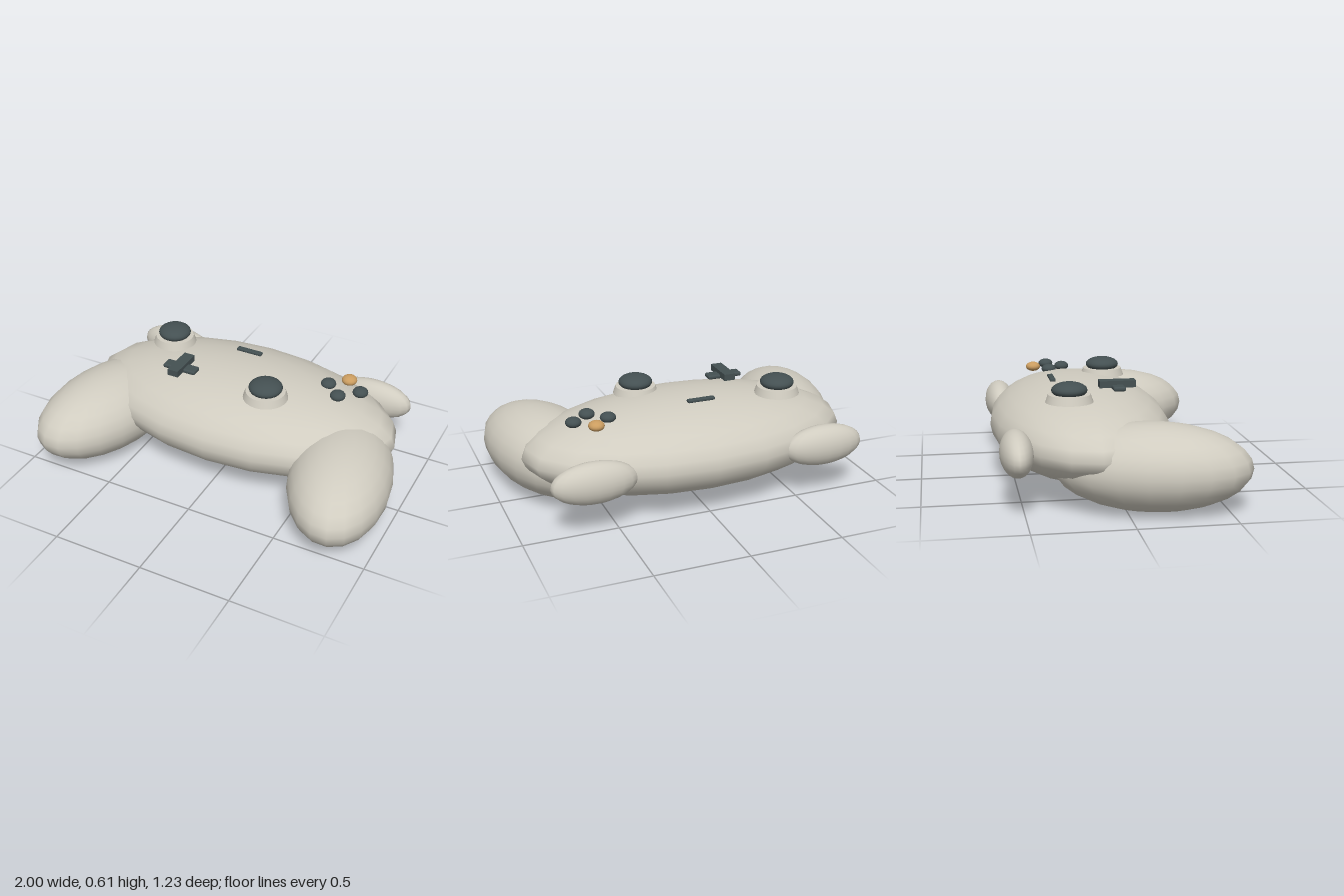
import * as THREE from 'three';
import { RoundedBoxGeometry } from 'three/addons/geometries/RoundedBoxGeometry.js';

const paint = (name, color) => {
  const m = new THREE.MeshStandardMaterial({ color });
  m.name = name;
  return m;
};

export function createModel() {
  const shell = paint('warm grey shell', 0xd0ccc0);
  const dark = paint('dark slate', 0x445052);
  const amber = paint('amber', 0xcb9d60);

  const model = new THREE.Group();
  model.name = 'gamepad';

  const add = (name, geometry, material, pos, parent = model) => {
    const mesh = new THREE.Mesh(geometry, material);
    mesh.name = name;
    mesh.position.set(...pos);
    parent.add(mesh);
    return mesh;
  };

  // smooth ellipsoid with the given half sizes
  const ellipsoid = (rx, ry, rz, around = 20, rings = 14) =>
    new THREE.SphereGeometry(1, around, rings).scale(rx, ry, rz);

  // main shell
  add('body', ellipsoid(0.9, 0.245, 0.48), shell, [0, 0.295, -0.14]);

  // splayed grips and shoulder buttons, mirrored
  for (const side of [1, -1]) {
    const label = side > 0 ? 'left' : 'right';
    const grip = add(label + 'Grip', ellipsoid(0.274, 0.22, 0.496), shell, [0.708 * side, 0.222, 0.13]);
    grip.rotation.y = 0.25 * side;
    add(label + 'ShoulderButton', ellipsoid(0.225, 0.111, 0.083), shell, [0.63 * side, 0.294, -0.53]);
  }

  // thumbsticks: tapered collar with a domed cap
  const collar = new THREE.CylinderGeometry(0.107, 0.121, 0.04, 28);
  const cap = ellipsoid(0.091, 0.041, 0.091, 24, 14);
  for (const [name, x, z] of [['rightThumbstick', -0.489, -0.25], ['leftThumbstick', 0.219, 0.028]]) {
    const stick = new THREE.Group();
    stick.name = name;
    stick.position.set(x, 0, z);
    add('stickCollar', collar, shell, [0, 0.531, 0], stick);
    add('stickCap', cap, dark, [0, 0.571, 0], stick);
    model.add(stick);
  }

  // directional pad: two crossing bars
  const pad = new THREE.Group();
  pad.name = 'directionalPad';
  pad.position.set(-0.294, 0, 0.025);
  add('padAcross', new RoundedBoxGeometry(0.195, 0.024, 0.066, 2, 0.01), dark, [0, 0.544, 0], pad);
  add('padAlong', new THREE.BoxGeometry(0.062, 0.036, 0.19), dark, [0, 0.558, 0], pad);
  model.add(pad);

  // small menu bar
  add('menuBar', new RoundedBoxGeometry(0.15, 0.016, 0.03, 2, 0.005), dark, [-0.031, 0.547, -0.288]);

  // face buttons in a diamond
  const button = ellipsoid(0.042, 0.027, 0.042, 20, 12);
  const spots = [['backButton', 0, -0.084, amber], ['frontButton', 0, 0.084, dark],
    ['leftButton', 0.092, 0, dark], ['rightButton', -0.092, 0, dark]];
  for (const [name, dx, dz, material] of spots) {
    add(name, button, material, [0.557 + dx - (dx ? 0 : 0.004), 0.506, -0.248 + dz]);
  }

  return model;
}
